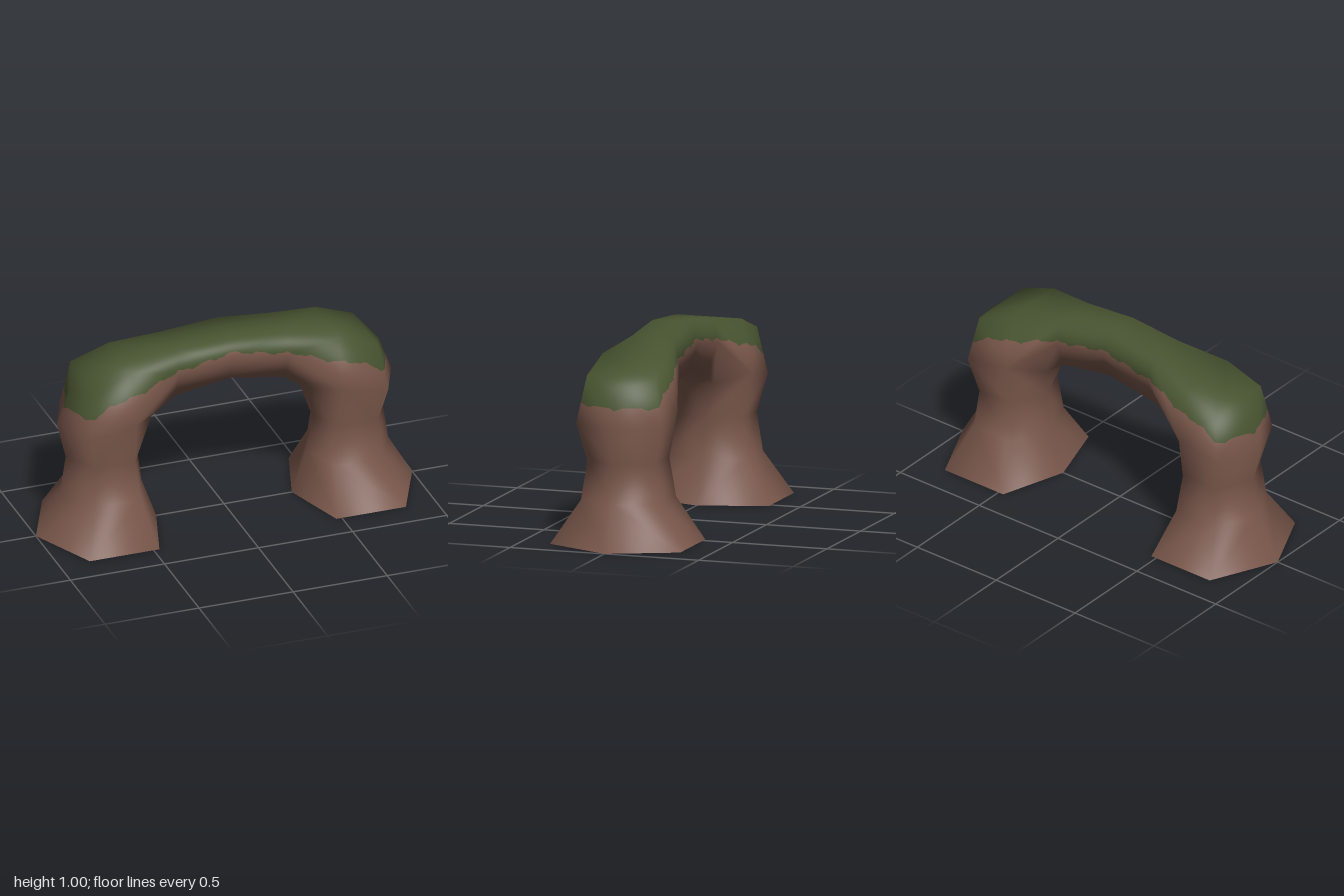
import * as THREE from 'three';
import { mergeVertices } from 'three/addons/utils/BufferGeometryUtils.js';

const V = (x, y, z) => new THREE.Vector3(x, y, z);

// Leg cross-section: pointed outside, paired corners front and back, inner edge of half width v
const legRing = (y, out, cOut, cIn, inn, z, v = 0) => [
  V(out, y, 0), V(cOut, y, z), V(cIn, y, z), V(inn, y, v), V(inn, y, -v), V(cIn, y, -z), V(cOut, y, -z),
];
// Span cross-section: flat top, side ridges, flat underside
const spanRing = (x, top, zTop, mid, zMid, low, zLow, xLow = x) => [
  V(x, top, zTop), V(x, mid, zMid), V(xLow, low, zLow), V(xLow, low, -zLow), V(x, mid, -zMid), V(x, top, -zTop),
];

// Coarse hull of one half of the arch (x > 0)
function halfTriangles() {
  const tris = [];
  const tri = (a, b, c) => {
    if (new THREE.Triangle(a, b, c).getArea() > 1e-7) tris.push([a, b, c]);
  };
  const quad = (a, b, c, d) => { tri(a, b, c); tri(a, c, d); };
  const loft = (p, q) => p.forEach((_, i) => {
    const j = (i + 1) % p.length;
    quad(p[i], q[i], q[j], p[j]);
  });

  const shoulder = legRing(0.61, 0.888, 0.79, 0.55, 0.41, 0.225, 0.07);
  const legs = [
    legRing(0, 1, 0.84, 0.47, 0.36, 0.345),
    legRing(0.22, 0.872, 0.765, 0.52, 0.44, 0.208),
    legRing(0.42, 0.842, 0.75, 0.54, 0.465, 0.18),
    shoulder,
  ];
  shoulder[2].y = shoulder[5].y = 0.65;
  for (let i = 0; i < 3; i++) loft(legs[i], legs[i + 1]);

  const spans = [
    spanRing(0.55, 0.927, 0.17, 0.65, 0.225, 0.61, 0.07, 0.41),
    spanRing(0.29, 0.972, 0.11, 0.85, 0.14, 0.705, 0.085),
    spanRing(0, 1, 0.105, 0.89, 0.135, 0.755, 0.085),
  ];
  for (let i = 0; i < 2; i++) loft(spans[i], spans[i + 1]);

  // Rounded outer shoulder joining leg and span
  const tip = V(0.82, 0.79, 0), aF = V(0.75, 0.85, 0.182), aB = V(0.75, 0.85, -0.182);
  const bF = spans[0][0], bB = spans[0][5], s = shoulder;
  quad(s[0], tip, aF, s[1]);
  quad(s[1], aF, bF, s[2]);
  quad(s[5], bB, aB, s[6]);
  quad(s[6], aB, tip, s[0]);
  tri(tip, aB, aF);
  quad(aB, bB, bF, aF);
  return tris;
}

// Ragged lower edge of the moss
const EDGE = [[0, 0.915], [0.1, 0.9], [0.2, 0.88], [0.35, 0.855], [0.5, 0.805], [0.6, 0.79], [0.7, 0.755], [0.78, 0.71], [1.1, 0.71]];
function mossHeight(p) {
  const x = Math.abs(p.x);
  const i = EDGE.findIndex((e) => e[0] > x);
  const [[x0, y0], [x1, y1]] = [EDGE[i - 1], EDGE[i]];
  const base = y0 + (y1 - y0) * (x - x0) / (x1 - x0);
  return x > 0.76
    ? base - 0.012 * Math.max(0, Math.cos(p.z * 40)) ** 3
    : base + 0.007 * Math.sin(x * 47 + 1) + 0.004 * Math.sin(x * 113);
}

// Keep the part of a polygon on one side of the moss edge
function clip(poly, sign) {
  const out = [];
  poly.forEach((a, i) => {
    const b = poly[(i + 1) % poly.length];
    const fa = a.f * sign, fb = b.f * sign;
    if (fa >= 0) out.push(a);
    if ((fa >= 0) !== (fb >= 0)) {
      const t = fa / (fa - fb);
      out.push({ p: a.p.clone().lerp(b.p, t), n: a.n.clone().lerp(b.n, t).normalize(), f: 0 });
    }
  });
  return out;
}

function surface(polys) {
  const pos = [], nor = [];
  for (const poly of polys) {
    for (let i = 1; i < poly.length - 1; i++) {
      for (const v of [poly[0], poly[i], poly[i + 1]]) {
        pos.push(...v.p.toArray());
        nor.push(...v.n.toArray());
      }
    }
  }
  const g = new THREE.BufferGeometry();
  g.setAttribute('position', new THREE.Float32BufferAttribute(pos, 3));
  g.setAttribute('normal', new THREE.Float32BufferAttribute(nor, 3));
  return g;
}

export function createModel() {
  // Mirror the half and smooth the whole hull
  const half = halfTriangles();
  const flip = (p) => V(-p.x, p.y, p.z);
  const all = [...half, ...half.map(([a, b, c]) => [flip(a), flip(c), flip(b)])];
  let hull = new THREE.BufferGeometry().setFromPoints(all.flat());
  hull = mergeVertices(hull, 1e-4);
  hull.computeVertexNormals();

  // Subdivide each face, then split it along the moss edge
  const N = 12, rock = [], moss = [];
  const { position, normal } = hull.attributes, index = hull.index;
  for (let t = 0; t < index.count; t += 3) {
    const ids = [0, 1, 2].map((k) => index.getX(t + k));
    const P = ids.map((i) => V().fromBufferAttribute(position, i));
    const M = ids.map((i) => V().fromBufferAttribute(normal, i));
    const mix = (A, u, v) => V(0, 0, 0).addScaledVector(A[0], 1 - u - v).addScaledVector(A[1], u).addScaledVector(A[2], v);
    const at = (i, j) => {
      const p = mix(P, i / N, j / N);
      return { p, n: mix(M, i / N, j / N).normalize(), f: p.y - mossHeight(p) };
    };
    const add = (...poly) => {
      const up = clip(poly, 1), down = clip(poly, -1);
      if (up.length > 2) moss.push(up);
      if (down.length > 2) rock.push(down);
    };
    for (let i = 0; i < N; i++) {
      for (let j = 0; j < N - i; j++) {
        add(at(i, j), at(i + 1, j), at(i, j + 1));
        if (i + j < N - 1) add(at(i + 1, j), at(i + 1, j + 1), at(i, j + 1));
      }
    }
  }

  const rockMat = new THREE.MeshStandardMaterial({ color: 0x78564a, side: THREE.DoubleSide });
  rockMat.name = 'brown rock';
  const mossMat = new THREE.MeshStandardMaterial({ color: 0x475330, side: THREE.DoubleSide });
  mossMat.name = 'moss green';

  const group = new THREE.Group();
  group.name = 'rockArch';
  for (const [name, polys, mat] of [['archRock', rock, rockMat], ['mossCap', moss, mossMat]]) {
    const mesh = new THREE.Mesh(surface(polys), mat);
    mesh.name = name;
    group.add(mesh);
  }
  return group;
}
